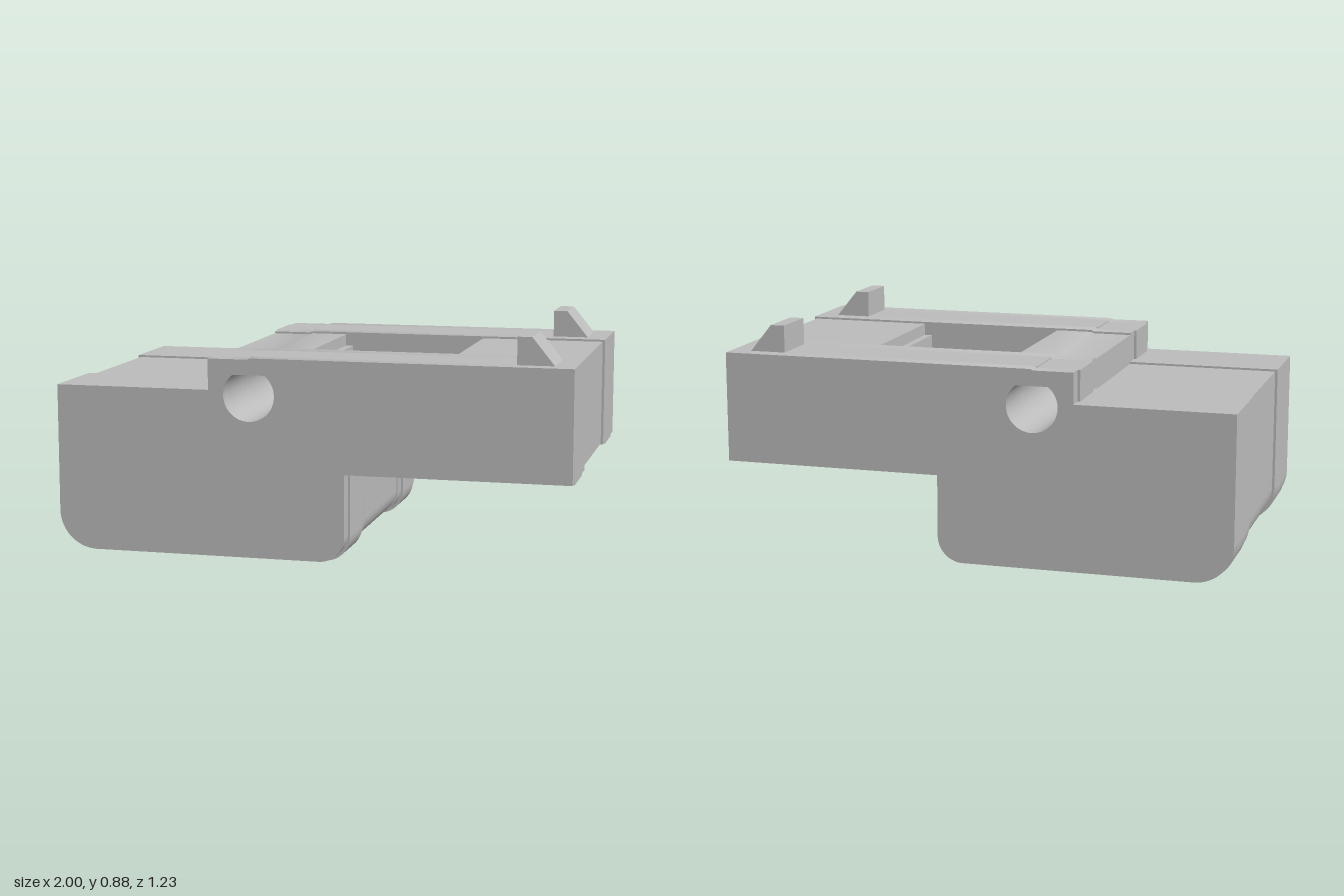
import * as THREE from 'three';
import { toCreasedNormals } from 'three/addons/utils/BufferGeometryUtils.js';

const grey = new THREE.MeshStandardMaterial({ color: 0xbcbcbc });
grey.name = 'plain grey';

// Extrude an XY shape between two z positions
function slab(name, shape, z0, z1) {
  const raw = new THREE.ExtrudeGeometry(shape, { depth: z1 - z0, bevelEnabled: false, curveSegments: 20 });
  raw.translate(0, 0, z0);
  const mesh = new THREE.Mesh(toCreasedNormals(raw, 0.5), grey);
  mesh.name = name;
  return mesh;
}

// Stepped side profile; insets pull in the ends, the top and the underside
function bodyShape({ end = 0, top = 0, under = 0, step = 0, pocket = false }) {
  const xl = -1 + end, xr = 1 - end, legX = 0.15 - under;
  const s = new THREE.Shape();
  s.moveTo(-0.84, under);
  s.lineTo(0.05, under);
  s.absarc(legX - 0.1, under + 0.1, 0.1, -Math.PI / 2, 0, false);
  s.lineTo(legX, 0.338 + under);
  s.lineTo(xr, 0.338 + under);
  s.lineTo(xr, 0.775 - top);
  if (pocket) {
    // Ledged pocket, closed at both sides by the neighbouring bands
    [[0.5, 0.775 - top], [0.5, 0.72], [0.47, 0.72], [0.47, 0.53],
      [-0.05, 0.53], [-0.05, 0.72], [-0.08, 0.72], [-0.08, 0.775 - top]]
      .forEach(([x, y]) => s.lineTo(x, y));
  }
  s.lineTo(-0.235 + step, 0.775 - top);
  s.lineTo(-0.235, 0.77 - top);
  s.lineTo(-0.4 + step, 0.77 - top);
  s.lineTo(-0.4 + step, 0.65 - top);
  s.lineTo(xl, 0.65 - top);
  s.lineTo(xl, under + 0.15);
  s.absarc(xl + 0.15, under + 0.15, 0.15, Math.PI, Math.PI * 1.5, false);

  // Cross bore with a flat roof
  const bore = new THREE.Path();
  const a = Math.asin(0.78);
  bore.absarc(-0.23, 0.633, 0.1, a, Math.PI - a, true);
  bore.closePath();
  s.holes.push(bore);
  return s;
}

export function createModel() {
  const model = new THREE.Group();
  model.name = 'steppedHousing';

  // Recessed middle band with the pocket
  model.add(slab('middleBody', bodyShape({ end: 0.01, top: 0.008, under: 0.012, step: 0.01, pocket: true }), -0.29, 0.29));

  const lug = new THREE.Shape();
  [[0.78, 0.76], [0.935, 0.76], [0.92, 0.775], [0.835, 0.88], [0.78, 0.88]]
    .forEach(([x, y], i) => (i ? lug.lineTo(x, y) : lug.moveTo(x, y)));

  // Mirrored side bands and catches
  const bands = [
    ['innerBand', 0.29, 0.36, { under: 0.008, step: 0.01 }],
    ['rail', 0.36, 0.555, {}],
    ['outerBand', 0.555, 0.615, { under: 0.008, step: 0.01 }],
  ];
  for (const [side, sign] of [['Front', 1], ['Back', -1]]) {
    const add = (name, shape, a, b) =>
      model.add(slab(name + side, shape, Math.min(sign * a, sign * b), Math.max(sign * a, sign * b)));
    for (const [name, a, b, insets] of bands) add(name, bodyShape(insets), a, b);
    add('catch', lug, 0.36, 0.555);
  }
  return model;
}
